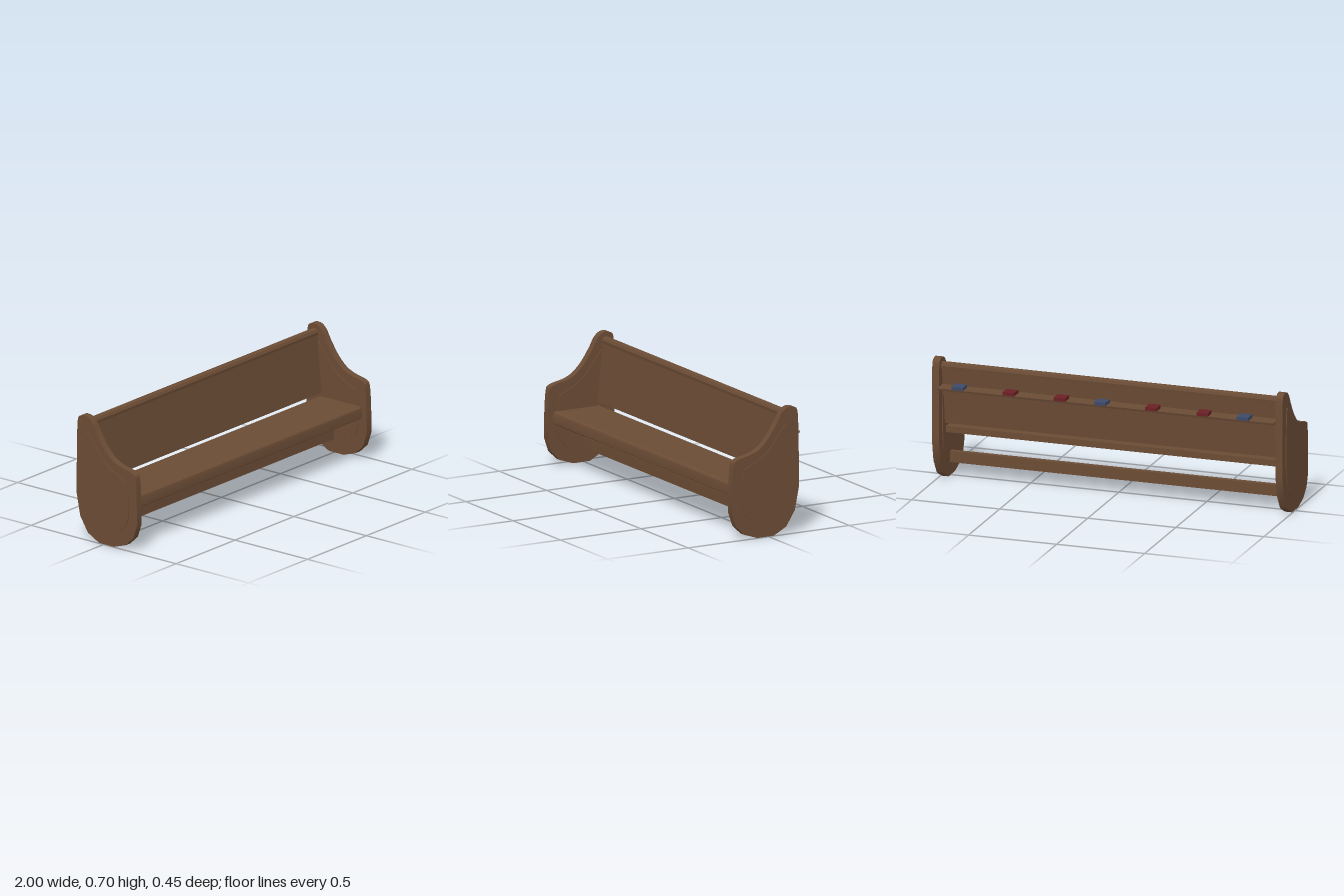
import * as THREE from 'three';
import { toCreasedNormals } from 'three/addons/utils/BufferGeometryUtils.js';

const mat = (name, color) => new THREE.MeshStandardMaterial({ name, color });

// Extrudes a (z, y) shape along x, centred on x = cx
function extrudeX(name, shape, width, cx, material) {
  const geo = new THREE.ExtrudeGeometry(shape, { depth: width, bevelEnabled: false, curveSegments: 32 });
  geo.translate(0, 0, -width / 2);
  geo.rotateY(Math.PI / 2);
  const mesh = new THREE.Mesh(toCreasedNormals(geo, 0.4), material);
  mesh.name = name;
  mesh.position.x = cx;
  return mesh;
}

// Shape from (z, y) straight points followed by a smooth curve
function profile(points, curve = []) {
  const v = ([z, y]) => new THREE.Vector2(-z, y);
  const shape = new THREE.Shape();
  points.forEach((p, i) => (i ? shape.lineTo(v(p).x, p[1]) : shape.moveTo(v(p).x, p[1])));
  if (curve.length) shape.splineThru(curve.map(v));
  shape.closePath();
  return shape;
}

export function createModel() {
  const group = new THREE.Group();
  const wood = mat('brown wood', 0x6b4c35);
  const blue = mat('blue cover', 0x3d4a68);
  const red = mat('red cover', 0x6a2024);

  // End boards: faceted foot, curved arm and shoulder
  const endShape = profile(
    [[0.225, 0.25], [0.225, 0.15], [0.2, 0.076], [0.148, 0.027], [0.068, 0],
      [-0.035, 0], [-0.112, 0.042], [-0.165, 0.125], [-0.19, 0.25]],
    [[-0.189, 0.48], [-0.186, 0.61], [-0.18, 0.676], [-0.164, 0.694], [-0.138, 0.7],
      [-0.108, 0.692], [-0.08, 0.665], [-0.05, 0.612], [0, 0.54], [0.055, 0.488],
      [0.11, 0.463], [0.165, 0.451], [0.198, 0.44], [0.214, 0.42], [0.222, 0.34], [0.225, 0.25]]);
  const panelShape = profile(
    [[0.172, 0.25], [0.172, 0.19], [0.152, 0.137], [0.113, 0.102], [0.055, 0.083],
      [-0.023, 0.083], [-0.079, 0.115], [-0.118, 0.18], [-0.137, 0.28]],
    [[-0.136, 0.42], [-0.131, 0.54], [-0.123, 0.602], [-0.115, 0.607], [-0.098, 0.598],
      [-0.06, 0.55], [-0.01, 0.486], [0.04, 0.442], [0.1, 0.41], [0.146, 0.39],
      [0.157, 0.367], [0.169, 0.31], [0.172, 0.25]]);
  for (const [side, s] of [['left', 1], ['right', -1]]) {
    group.add(extrudeX(side + 'EndBoard', endShape, 0.04, s * 0.975, wood));
    group.add(extrudeX(side + 'RaisedPanel', panelShape, 0.05, s * 0.975, wood));
  }

  // Long boards between the ends
  const span = 1.91;
  group.add(extrudeX('seat', profile(
    [[-0.09, 0.265], [0.185, 0.23], [0.192, 0.236], [0.192, 0.28], [0.188, 0.292], [0.174, 0.3], [-0.09, 0.3]]),
  span, 0, wood));
  group.add(extrudeX('backrest', profile(
    [[-0.108, 0.322], [-0.08, 0.322], [-0.115, 0.652], [-0.143, 0.652]]), span, 0, wood));
  group.add(extrudeX('topRail', profile(
    [[-0.154, 0.64], [-0.112, 0.64], [-0.11, 0.655], [-0.118, 0.67], [-0.126, 0.674],
      [-0.142, 0.674], [-0.15, 0.67], [-0.156, 0.655]]), span, 0, wood));
  group.add(extrudeX('stretcher', profile(
    [[-0.025, 0.078], [0.005, 0.078], [0.005, 0.14], [-0.025, 0.14]]), span, 0, wood));
  group.add(extrudeX('bookShelf', profile(
    [[-0.125, 0.535], [-0.216, 0.535], [-0.22, 0.547], [-0.125, 0.547]]), span, 0, wood));

  // Books lying on the rear shelf: x, colour, turn
  const books = [[-0.78, blue, 0], [-0.55, red, 0.06], [-0.26, red, 0], [0.03, blue, -0.07],
    [0.26, red, 0], [0.55, red, -0.06], [0.84, blue, 0]];
  books.forEach(([x, cover, turn], i) => {
    const book = new THREE.Mesh(new THREE.BoxGeometry(0.065, 0.018, 0.066), cover);
    book.name = 'book' + (i + 1);
    book.position.set(x, 0.556, -0.189);
    book.rotation.y = turn;
    group.add(book);
  });
  return group;
}
